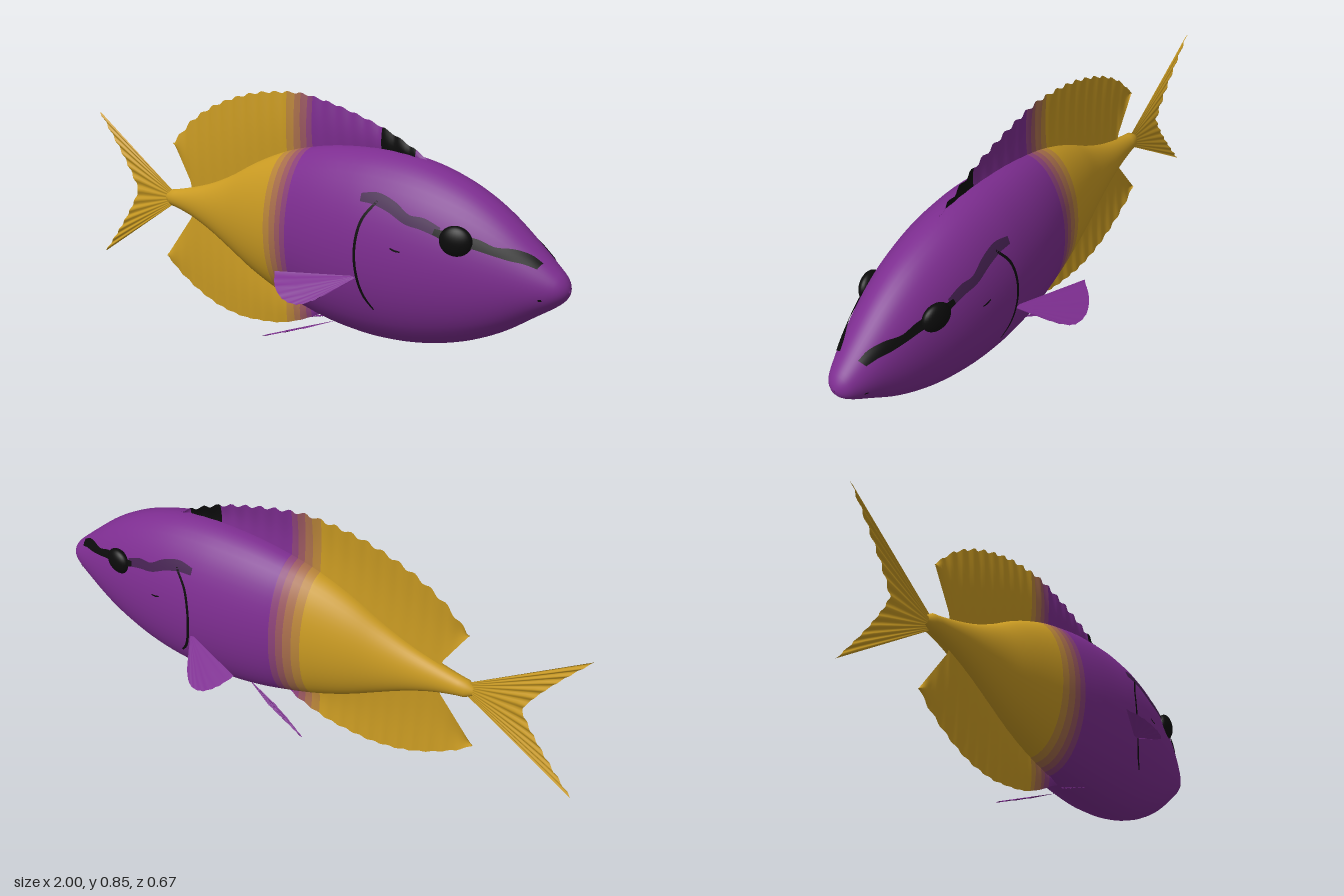
import * as THREE from 'three';

const material = (name, color) => Object.assign(
  new THREE.MeshStandardMaterial({ color, side: THREE.DoubleSide }), { name });

// Smooth interpolation through rows [x, a, b, ...]; returns column k at x
function sample(rows, x, k) {
  const last = rows.length - 1;
  let i = 0;
  while (i < last - 1 && x > rows[i + 1][0]) i++;
  const slope = (j) => {
    const a = rows[Math.max(0, j - 1)], b = rows[Math.min(last, j + 1)];
    return (b[k] - a[k]) / (b[0] - a[0]);
  };
  const p = rows[i], q = rows[i + 1], d = q[0] - p[0];
  const t = Math.min(1, Math.max(0, (x - p[0]) / d)), t2 = t * t, t3 = t2 * t;
  return p[k] * (2 * t3 - 3 * t2 + 1) + q[k] * (3 * t2 - 2 * t3)
    + d * (slope(i) * (t3 - 2 * t2 + t) + slope(i + 1) * (t3 - t2));
}

// Body stations: x, top, bottom, half width
const BODY = [
  [-0.635, 0.405, 0.375, 0.014], [-0.625, 0.42, 0.362, 0.026], [-0.6, 0.423, 0.36, 0.028],
  [-0.5, 0.448, 0.335, 0.04], [-0.4, 0.48, 0.295, 0.055], [-0.3, 0.525, 0.245, 0.075],
  [-0.2, 0.58, 0.195, 0.1], [-0.1, 0.625, 0.155, 0.122], [0, 0.658, 0.125, 0.142],
  [0.15, 0.688, 0.092, 0.166], [0.3, 0.7, 0.079, 0.178], [0.4, 0.698, 0.081, 0.178],
  [0.5, 0.686, 0.092, 0.172], [0.6, 0.66, 0.115, 0.16], [0.7, 0.62, 0.15, 0.141],
  [0.8, 0.56, 0.2, 0.115], [0.9, 0.48, 0.268, 0.081], [0.95, 0.437, 0.302, 0.06],
  [0.98, 0.41, 0.326, 0.042], [0.995, 0.388, 0.345, 0.022], [1, 0.368, 0.362, 0.003],
];
const DORSAL = [
  [-0.6, 0.6], [-0.55, 0.65], [-0.5, 0.695], [-0.4, 0.755], [-0.3, 0.795], [-0.2, 0.823],
  [-0.1, 0.837], [0, 0.842], [0.1, 0.828], [0.2, 0.806], [0.33, 0.768], [0.42, 0.73], [0.5, 0.69],
];
const ANAL = [
  [-0.65, 0.16], [-0.6, 0.118], [-0.5, 0.06], [-0.4, 0.021], [-0.3, 0.003], [-0.24, 0.001],
  [-0.1, 0.017], [0, 0.05], [0.08, 0.088], [0.15, 0.115],
];
const bodyTop = (x) => sample(BODY, x, 1);
const bodyBottom = (x) => sample(BODY, x, 2);

// Half width of the body at a point of its side
function sideZ(x, y) {
  const c = (bodyTop(x) + bodyBottom(x)) / 2, h = (bodyTop(x) - bodyBottom(x)) / 2;
  return sample(BODY, x, 3) * Math.sqrt(Math.max(0, 1 - ((y - c) / h) ** 2));
}

// Grid over the given stations and m steps; materialOf(station middle) picks the colour
function grid(stations, m, point, materialOf = () => 0) {
  const pos = [], idx = [], geo = new THREE.BufferGeometry(), wrap = point.wrap;
  const row = wrap ? m : m + 1;
  stations.forEach((u) => {
    for (let j = 0; j < row; j++) pos.push(...point(u, j / m));
  });
  for (let i = 0; i < stations.length - 1; i++) {
    geo.addGroup(idx.length, m * 6, materialOf((stations[i] + stations[i + 1]) / 2));
    for (let j = 0; j < m; j++) {
      const a = i * row + j, b = i * row + (j + 1) % row;
      idx.push(a, b, a + row, b, b + row, a + row);
    }
  }
  geo.setAttribute('position', new THREE.Float32BufferAttribute(pos, 3));
  geo.setIndex(idx);
  geo.computeVertexNormals();
  return geo;
}

const steps = (a, b, n) => Array.from({ length: n + 1 }, (_, i) => a + (b - a) * i / n);
const EDGES = [-0.06, -0.03, 0, 0.025, 0.05];
const withEdges = (list, extra = []) => [...new Set([...list,
  ...[...EDGES, ...extra].filter((e) => e > list[0] && e < list[list.length - 1])])].sort((a, b) => a - b);
const bandOf = (x) => EDGES.filter((e) => x > e).length;

export function createModel() {
  const fish = new THREE.Group();
  fish.name = 'fish';
  const yellow = material('golden yellow', 0xc99a22);
  const purple = material('purple', 0x7d2d90);
  const dark = material('dark purple', 0x43204f);
  const black = material('black', 0x0b0b0b);
  const coat = [yellow, material('blend gold', 0xb88439), material('blend tan', 0xa86e4c),
    material('blend mauve', 0x99575f), material('blend plum', 0x8b4278), purple, black];

  const add = (name, geometry, mat, parent = fish) => {
    const mesh = new THREE.Mesh(geometry, mat);
    mesh.name = name;
    parent.add(mesh);
    return mesh;
  };

  // Body: elliptical rings, yellow rear blending into a purple front
  const ring = (x, v) => {
    const t = v * Math.PI * 2, top = bodyTop(x), low = bodyBottom(x);
    return [x, (top + low) / 2 + (top - low) / 2 * Math.cos(t), sample(BODY, x, 3) * Math.sin(t)];
  };
  ring.wrap = true;
  add('body', grid(withEdges([...steps(-0.635, 0.94, 64), 0.955, 0.97, 0.98, 0.988, 0.995, 0.998, 1]),
    48, ring, bandOf), coat);

  // Dorsal and anal fins: thin rippled sheets with a scalloped rim
  const ripple = (x, v) => 0.006 * Math.sin(Math.PI * v) + 0.003 * v * Math.cos(x * 110);
  const scallop = (x) => 0.004 * Math.cos(x * 110);
  const lerp = THREE.MathUtils.lerp;
  const dorsal = (x, v) => {
    const root = x < -0.51 ? lerp(0.6, 0.45, (x + 0.6) / 0.09) : bodyTop(x) - 0.02;
    return [x, lerp(root, sample(DORSAL, x, 1) + scallop(x), v), ripple(x, v)];
  };
  add('dorsalFin', grid(withEdges(steps(-0.6, 0.5, 110), [0.33, 0.46]), 6, dorsal,
    (x) => (x > 0.33 && x < 0.46 ? 6 : bandOf(x))), coat);
  const anal = (x, v) => {
    const root = x < -0.51 ? lerp(0.16, 0.34, (x + 0.65) / 0.14) : bodyBottom(x) + 0.02;
    return [x, lerp(root, sample(ANAL, x, 1), v), ripple(x, v)];
  };
  add('analFin', grid(withEdges(steps(-0.65, 0.15, 80)), 6, anal, bandOf), coat);

  // Forked tail with raised rays
  const tail = (s, v) => [
    lerp(-0.615, -0.8 - 0.2 * Math.abs(s) ** 1.2, v),
    lerp(0.39 + 0.028 * s, 0.39 + 0.28 * s, v),
    0.004 * v * Math.cos(s * 40)];
  add('tailFin', grid(steps(-1, 1, 64), 6, tail), yellow);

  // Ribbon laid on the flank; path rows are x, y, half width
  const ribbon = (path, side, lift) => {
    const curve = new THREE.CatmullRomCurve3(path.map((p) => new THREE.Vector3(...p)));
    return grid(steps(0, 1, 36), 4, (u, v) => {
      const p = curve.getPoint(u), d = curve.getTangent(u);
      const len = Math.hypot(d.x, d.y), o = p.z * (v * 2 - 1);
      const x = p.x - d.y / len * o, y = p.y + d.x / len * o;
      return [x, y, side * (sideZ(x, y) + lift)];
    });
  };
  const fan = (root, rim) => {
    const curve = new THREE.CatmullRomCurve3(rim.map((p) => new THREE.Vector3(...p)));
    return grid(steps(0, 1, 24), 4, (u, v) => {
      const p = curve.getPoint(u);
      const y = p.y + 0.002 * Math.cos(u * 60);
      return [lerp(root[0], p.x, v), lerp(root[1], y, v), lerp(root[2], p.z, v)];
    });
  };

  for (const side of [1, -1]) {
    const half = new THREE.Group();
    half.name = side > 0 ? 'nearSide' : 'farSide';
    fish.add(half);

    // Eye and the mask running through it
    const eye = add('eye', new THREE.SphereGeometry(1, 28, 18), black, half);
    eye.scale.set(0.052, 0.047, 0.026);
    eye.position.set(0.69, 0.49, side * 0.129);
    eye.rotation.y = side * 0.2;
    add('maskRear', ribbon([[0.355, 0.575, 0.012], [0.41, 0.578, 0.018], [0.47, 0.562, 0.018],
      [0.53, 0.533, 0.015], [0.58, 0.527, 0.017], [0.635, 0.51, 0.014]], side, 0.003), dark, half);
    add('maskFront', ribbon([[0.62, 0.51, 0.009], [0.68, 0.497, 0.016], [0.75, 0.488, 0.015],
      [0.8, 0.474, 0.012], [0.85, 0.467, 0.016], [0.89, 0.457, 0.013], [0.925, 0.44, 0.008]],
    side, 0.004), black, half);

    // Gill slit, cheek mark and nostril
    add('gillSlit', ribbon([[0.418, 0.572, 0.004], [0.375, 0.51, 0.005], [0.358, 0.42, 0.005],
      [0.365, 0.33, 0.005], [0.385, 0.265, 0.005], [0.415, 0.222, 0.003]], side, 0.003), black, half);
    add('cheekMark', ribbon([[0.485, 0.44, 0.002], [0.5, 0.435, 0.003], [0.52, 0.434, 0.002]],
      side, 0.002), black, half);
    add('nostril', ribbon([[0.932, 0.342, 0.003], [0.942, 0.342, 0.003]], side, 0.002), black, half);

    // Pectoral and pelvic fins
    add('pectoralFin', fan([0.365, 0.325, side * 0.165], [[0.11, 0.315, 0.27], [0.15, 0.283, 0.315],
      [0.2, 0.257, 0.334], [0.25, 0.25, 0.325], [0.29, 0.265, 0.29], [0.335, 0.3, 0.215]]
      .map(([x, y, z]) => [x, y, side * z])), purple, half);
    add('pelvicFin', fan([0.2, 0.11, side * 0.055], [[0.07, 0.06, 0.077], [0, 0.035, 0.098],
      [-0.07, 0.01, 0.125], [0, 0.034, 0.112], [0.09, 0.067, 0.095]]
      .map(([x, y, z]) => [x, y, side * z])), purple, half);
  }
  return fish;
}
